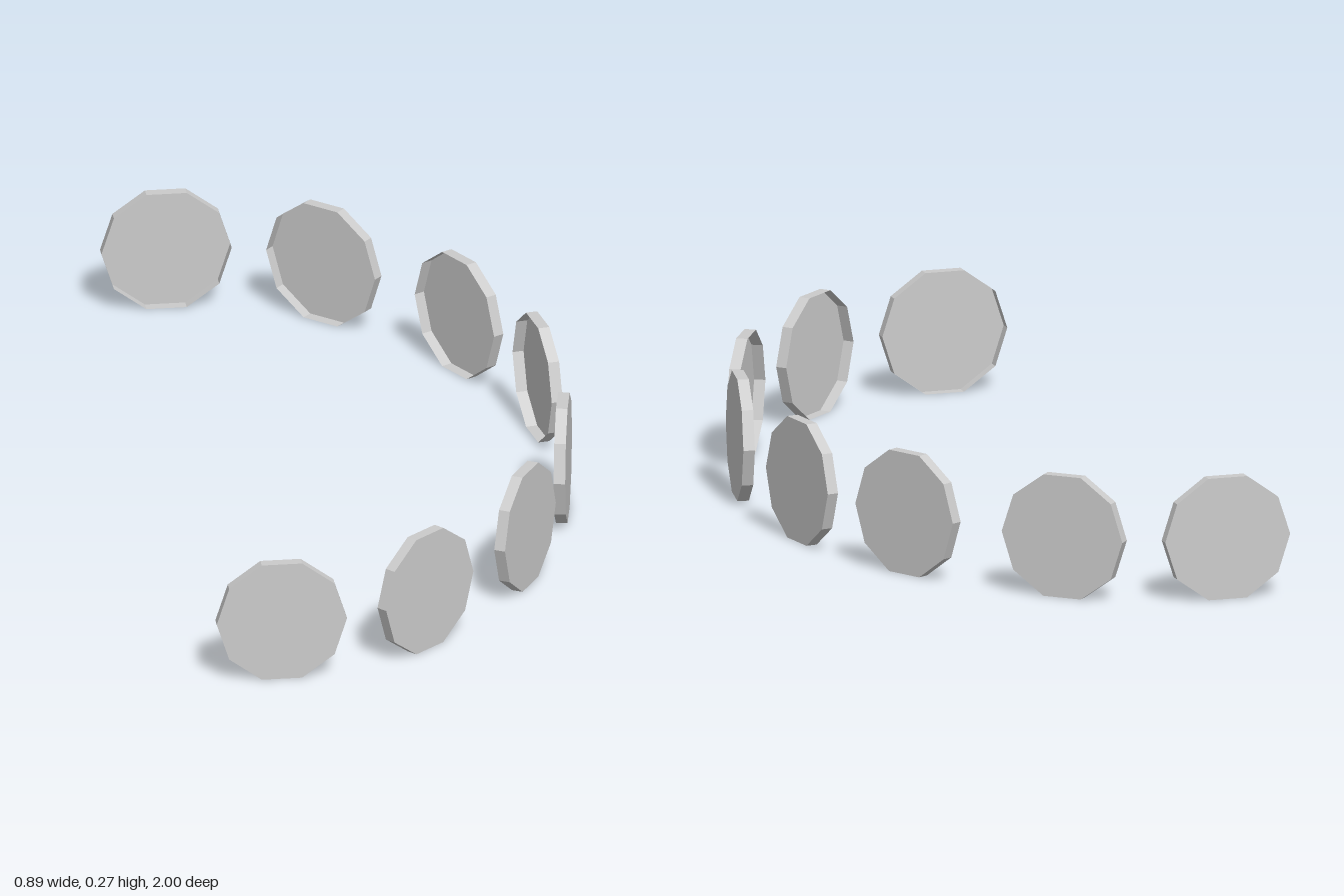
import * as THREE from 'three';
import { mergeGeometries } from 'three/addons/utils/BufferGeometryUtils.js';

const RADIUS = 0.141;
const THICKNESS = 0.025;
const SIDES = 10;

// Front half of the arc: centre x, centre z, turn about y in degrees
const PLACES = [
  [-0.302, 0.987, 0],
  [0.025, 0.87, 41.2],
  [0.279, 0.565, 60],
  [0.405, 0.215, 79.8],
];

// Shallow ten-sided dish: closed on the outer (+z) face, open on the inner one
function createDishGeometry() {
  const rim = new THREE.CylinderGeometry(RADIUS, RADIUS, THICKNESS, SIDES, 1, true, Math.PI / SIDES);
  rim.rotateX(Math.PI / 2);
  const face = new THREE.CircleGeometry(RADIUS, SIDES);
  face.translate(0, 0, THICKNESS / 2);
  return mergeGeometries([rim, face]);
}

export function createModel() {
  const group = new THREE.Group();
  group.name = 'discArc';

  const material = new THREE.MeshStandardMaterial({
    color: 0xcccccc,
    flatShading: true,
    side: THREE.DoubleSide,
  });
  const geometry = createDishGeometry();
  const height = RADIUS * Math.cos(Math.PI / SIDES);

  // Discs mirrored front to back, closed faces pointing out of the arc
  for (const side of [1, -1]) {
    PLACES.forEach(([x, z, degrees], i) => {
      const disc = new THREE.Mesh(geometry, material);
      disc.name = `${side > 0 ? 'front' : 'back'}Disc${i + 1}`;
      disc.position.set(x, height, side * z);
      disc.rotation.y = THREE.MathUtils.degToRad(side > 0 ? degrees : 180 - degrees);
      group.add(disc);
    });
  }
  return group;
}
